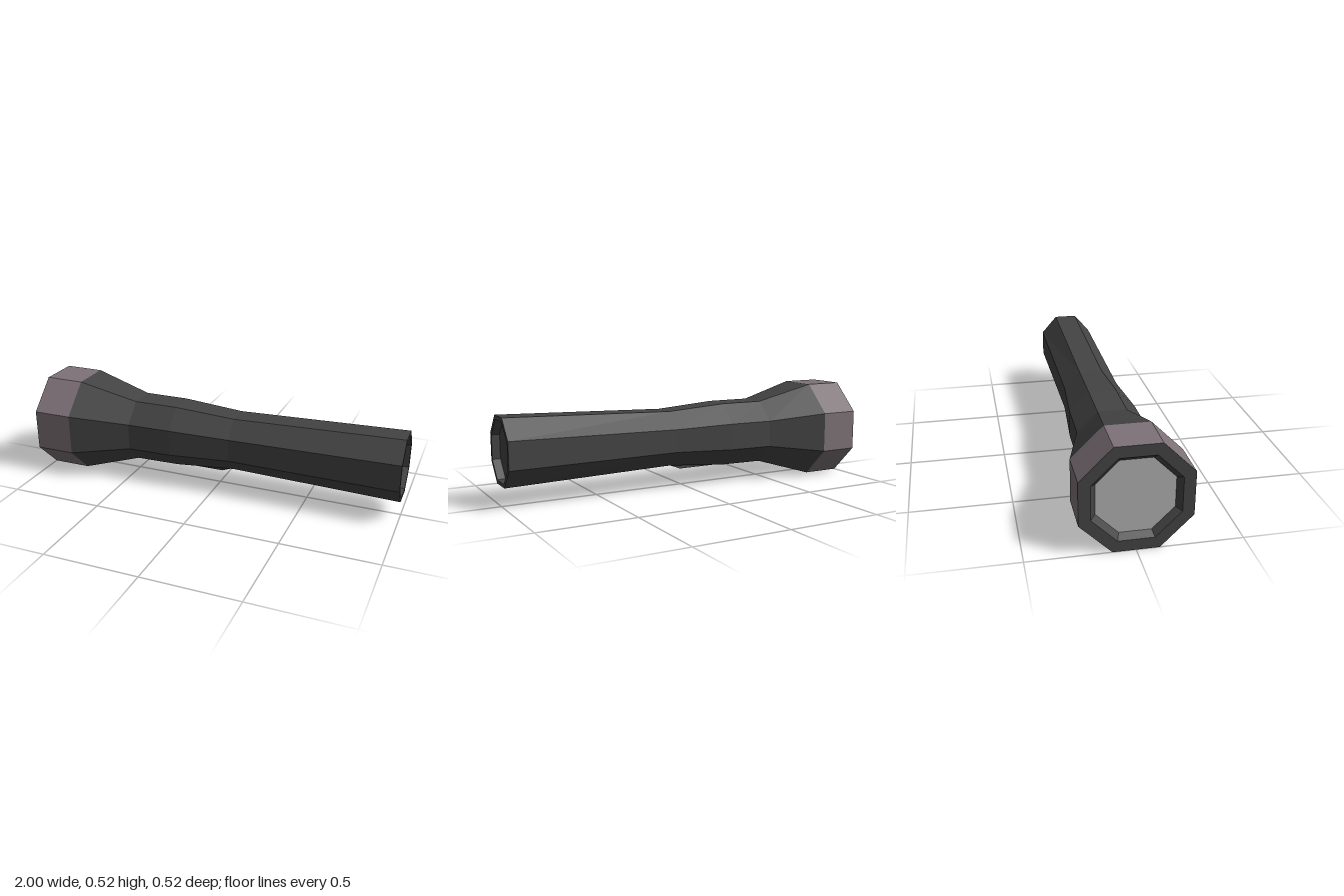
import * as THREE from 'three';

const mat = (name, color) => new THREE.MeshStandardMaterial({ name, color, flatShading: true });

// Octagonal loft along x; each section is [x, centreY, halfHeight, halfDepth]
function loft(sections) {
  const pos = [];
  const ring = ([x, cy, ry, rz]) => Array.from({ length: 8 }, (_, k) => {
    const a = (k + 0.5) * Math.PI / 4, s = 1 / Math.cos(Math.PI / 8);
    return [x, cy + ry * s * Math.cos(a), rz * s * Math.sin(a)];
  });
  for (let i = 0; i < sections.length - 1; i++) {
    const p = ring(sections[i]), q = ring(sections[i + 1]);
    for (let k = 0; k < 8; k++) {
      const n = (k + 1) % 8;
      pos.push(...p[k], ...p[n], ...q[k], ...p[n], ...q[n], ...q[k]);
    }
  }
  const g = new THREE.BufferGeometry();
  g.setAttribute('position', new THREE.Float32BufferAttribute(pos, 3));
  g.computeVertexNormals();
  return g;
}

export function createModel() {
  const group = new THREE.Group();
  group.name = 'flashlight';
  const body = mat('darkGrey', 0x444444);
  const collarMat = mat('mauveGrey', 0x7d7277);
  const lensMat = mat('lensGrey', 0xb0b0b0);
  const red = mat('switchRed', 0xc00010);
  const add = (name, geometry, material) => {
    const mesh = new THREE.Mesh(geometry, material);
    mesh.name = name;
    group.add(mesh);
    return mesh;
  };

  // Head: lens, recessed rim and outer collar
  const cy = 0.263;
  add('lens', loft([[-0.97, cy, 0, 0], [-0.97, cy, 0.18, 0.18]]), lensMat);
  add('headRim', loft([[-0.97, cy, 0.18, 0.18], [-1, cy, 0.205, 0.205], [-1, cy, 0.26, 0.26]]), body);
  add('collar', loft([[-1, cy, 0.26, 0.26], [-0.79, cy, 0.26, 0.26]]), collarMat);

  // Neck and handle, ending in a recessed tail cap
  add('handle', loft([
    [-0.79, cy, 0.26, 0.26],
    [-0.47, 0.269, 0.171, 0.174],
    [-0.23, 0.271, 0.17, 0.171],
    [0.1, 0.273, 0.146, 0.147],
    [1, 0.278, 0.171, 0.15],
    [1, 0.277, 0.151, 0.131],
    [0.96, 0.277, 0.148, 0.128],
    [0.96, 0.277, 0, 0],
  ]), body);

  // Switch housing under the handle: a frame with a sloped rear end
  const rect = (path, x0, x1, z) =>
    path.moveTo(x0, -z).lineTo(x1, -z).lineTo(x1, z).lineTo(x0, z).closePath();
  const outline = new THREE.Shape(), hole = new THREE.Path();
  rect(outline, -0.2, 0.1, 0.05);
  rect(hole, -0.16, 0.01, 0.034);
  outline.holes.push(hole);
  const frame = new THREE.ExtrudeGeometry(outline, { depth: 0.027, bevelEnabled: false });
  frame.rotateX(Math.PI / 2).translate(0, 0.128, 0);
  const p = frame.attributes.position;
  for (let i = 0; i < p.count; i++) {
    if (p.getX(i) > 0.09 && p.getY(i) < 0.11) p.setX(i, 0.03);
  }
  frame.computeVertexNormals();
  add('switchHousing', frame, body);

  // Switch button set into the frame, following the handle's slope
  const button = add('switchButton', new THREE.BoxGeometry(0.17, 0.009, 0.068), red);
  button.position.set(-0.075, 0.108, 0);

  return group;
}
